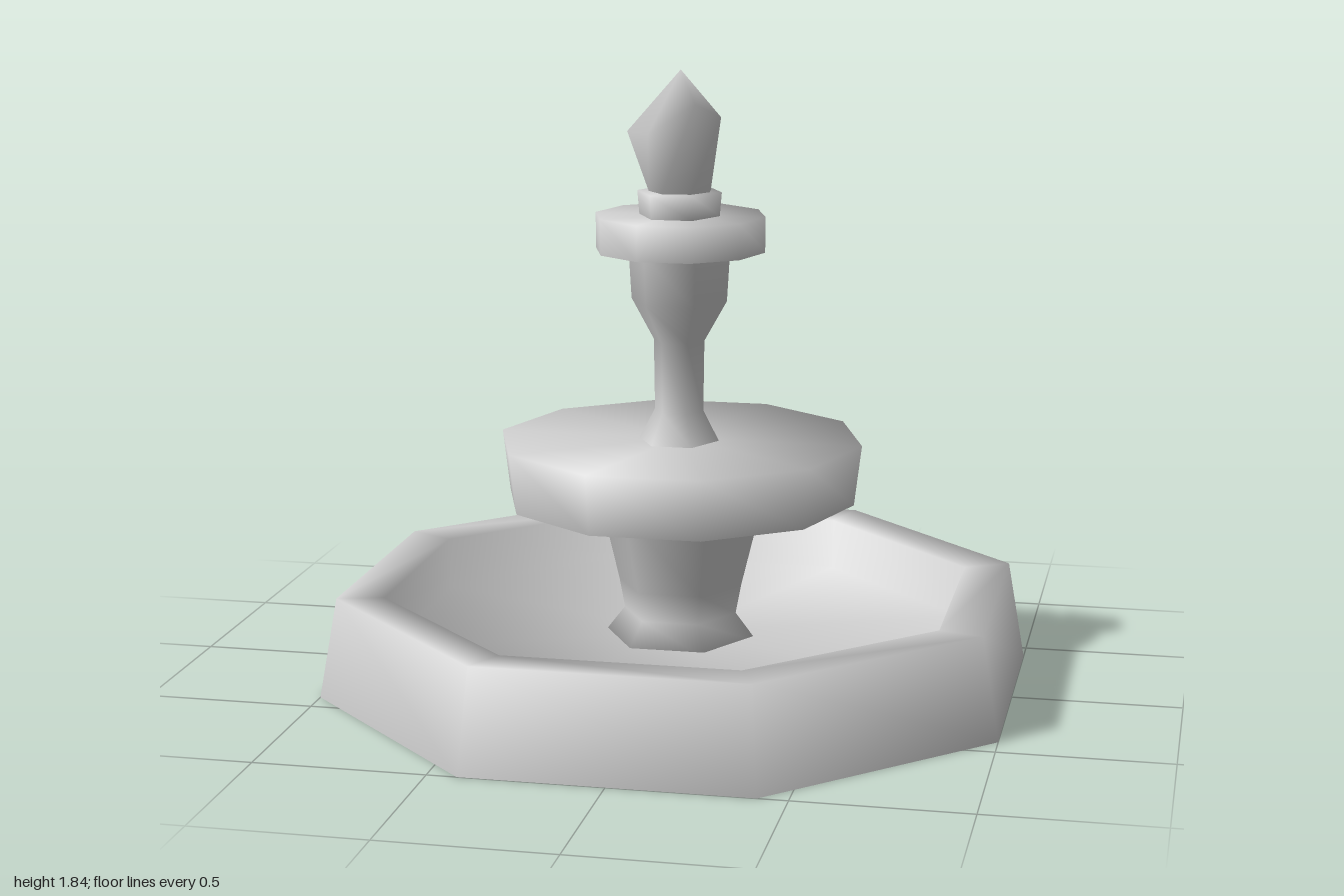
import * as THREE from 'three';

const material = new THREE.MeshStandardMaterial({ color: 0xcccccc, side: THREE.DoubleSide });

// Turned part with few sides; profile is [radius, y] from bottom to top.
// Every ring gets the even average of its neighbouring slopes as its normal.
function turned(name, sides, profile, start = Math.PI / 2) {
  const points = profile.map(([r, y]) => new THREE.Vector2(r, y));
  const geometry = new THREE.LatheGeometry(points, sides, start);
  const slopes = points.slice(1).map((p, i) => {
    const d = p.clone().sub(points[i]).normalize();
    return new THREE.Vector2(d.y, -d.x);
  });
  const normal = geometry.attributes.normal;
  for (let i = 0; i <= sides; i++) {
    const a = start + (i / sides) * Math.PI * 2;
    points.forEach((p, j) => {
      const before = slopes[Math.max(j - 1, 0)];
      const after = slopes[Math.min(j, slopes.length - 1)];
      const n = before.clone().add(after).normalize();
      normal.setXYZ(i * points.length + j, n.x * Math.sin(a), n.y, n.x * Math.cos(a));
    });
  }
  const mesh = new THREE.Mesh(geometry, material);
  mesh.name = name;
  return mesh;
}

// Rough-cut pointed finial: round base, uneven shoulder ring, tip
function finial() {
  const shoulder = [
    [0.125, 1.70, 0.02], [0.065, 1.745, 0.105], [-0.065, 1.66, 0.145], [-0.15, 1.655, 0.035],
    [-0.1, 1.68, -0.06], [-0.01, 1.635, -0.13], [0.11, 1.68, -0.05],
  ];
  const n = shoulder.length;
  const base = shoulder.map(([x, , z]) => {
    const a = Math.atan2(z, x);
    return [0.092 * Math.cos(a), 1.48, 0.092 * Math.sin(a)];
  });
  const vertices = [...base, ...shoulder, [0.005, 1.835, 0.015]];
  const faces = [];
  for (let i = 0; i < n; i++) {
    const j = (i + 1) % n;
    faces.push(i, n + i, j, j, n + i, n + j, n + i, 2 * n, n + j);
  }
  const geometry = new THREE.BufferGeometry();
  geometry.setAttribute('position', new THREE.Float32BufferAttribute(vertices.flat(), 3));
  geometry.setIndex(faces);
  geometry.computeVertexNormals();
  const mesh = new THREE.Mesh(geometry, material);
  mesh.name = 'finial';
  return mesh;
}

export function createModel() {
  const fountain = new THREE.Group();
  fountain.name = 'fountain';

  // Octagonal basin, hollow below: sloping wall, flat rim, sunken floor
  const k = 1 / Math.cos(Math.PI / 8);
  fountain.add(turned('basin', 8,
    [[k, 0], [0.95 * k, 0.3], [0.82 * k, 0.295], [0.815 * k, 0.14], [0, 0.14]], Math.PI / 8));

  // Flared six-sided pedestal, its closed foot set through the floor
  fountain.add(turned('pedestal', 6,
    [[0, 0.125], [0.235, 0.125], [0.17, 0.21], [0.187, 0.3], [0.248, 0.55]]));

  // Ten-sided bowls, closed on top and open below
  fountain.add(turned('lowerBowl', 10, [[0.523, 0.56], [0.545, 0.74], [0, 0.74]]));
  fountain.add(turned('upperBowl', 10, [[0.253, 1.305], [0.254, 1.41], [0, 1.41]]));

  // Slim column between the bowls
  const column = turned('column', 6,
    [[0.12, 0.74], [0.073, 0.83], [0.076, 1.04], [0.143, 1.16], [0.152, 1.31]]);
  column.position.z = 0.015;
  column.scale.z = 1.07;
  fountain.add(column);

  // Collar carrying the finial
  const collar = turned('collar', 6, [[0.12, 1.41], [0.126, 1.48], [0, 1.48]]);
  collar.position.z = 0.01;
  collar.scale.z = 1.07;
  fountain.add(collar, finial());

  return fountain;
}
